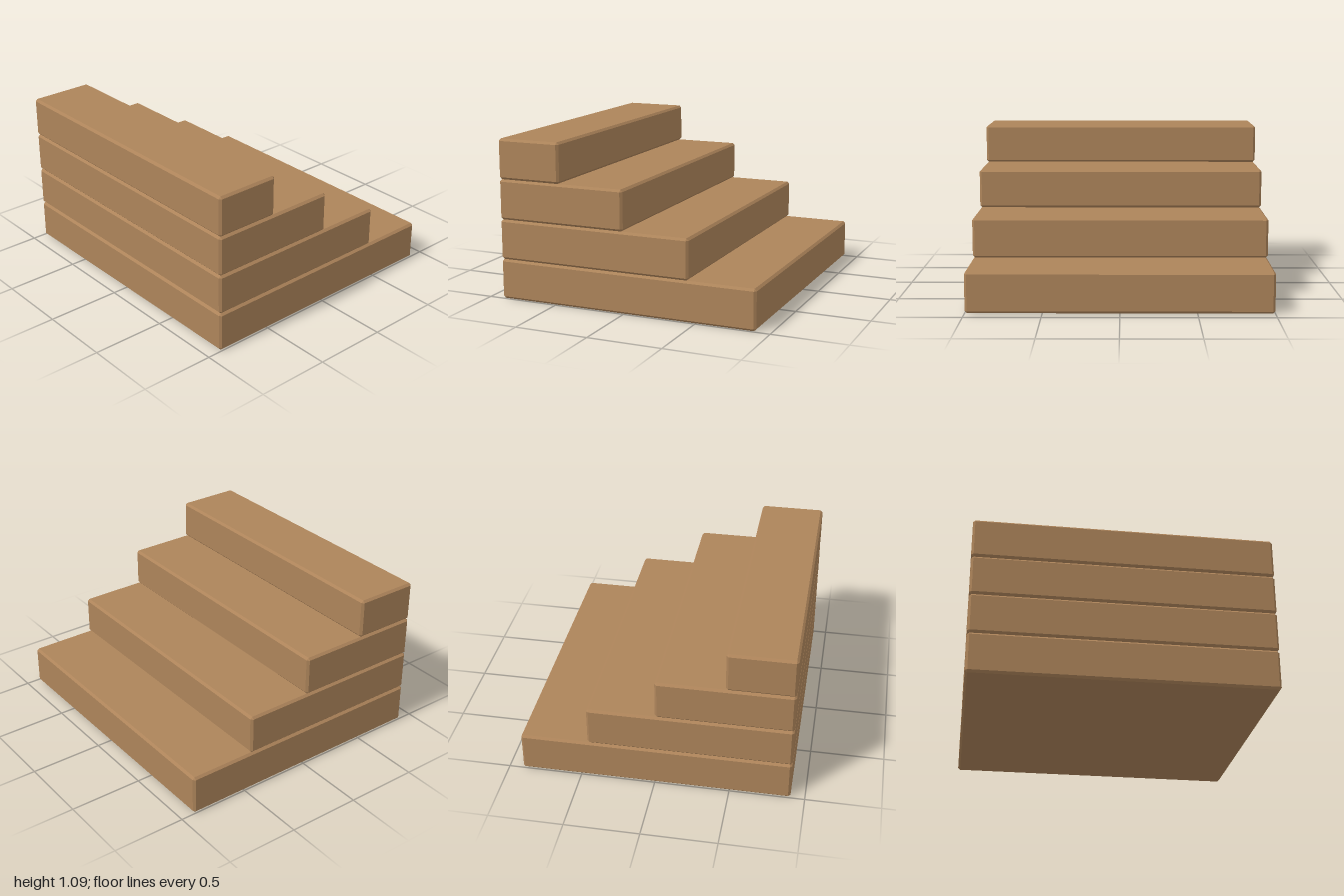
import * as THREE from 'three';
import { ConvexGeometry } from 'three/addons/geometries/ConvexGeometry.js';

// Box with every edge cut by a flat chamfer
function chamferedBox(width, height, depth, cut) {
  const half = [width / 2, height / 2, depth / 2];
  const points = [];
  for (const sx of [-1, 1]) for (const sy of [-1, 1]) for (const sz of [-1, 1]) {
    const sign = [sx, sy, sz];
    // Three points per corner, one on each adjoining face
    for (let face = 0; face < 3; face++) {
      const p = half.map((h, axis) => sign[axis] * (axis === face ? h : h - cut));
      points.push(new THREE.Vector3(...p));
    }
  }
  return new ConvexGeometry(points);
}

export function createModel() {
  const group = new THREE.Group();
  group.name = 'steps';

  const wood = new THREE.MeshStandardMaterial({ color: 0xad845a });
  wood.name = 'wood';

  const count = 4;
  const height = 0.272;
  const front = 0.905;
  const tread = 0.4545;

  // Stacked slabs, flush at the front and stepping in from the back
  for (let i = 0; i < count; i++) {
    const back = -front + i * tread;
    const step = new THREE.Mesh(chamferedBox(2, height, front - back, 0.015), wood);
    step.name = `step${i + 1}`;
    step.position.set(0, (i + 0.5) * height, (front + back) / 2);
    group.add(step);
  }
  return group;
}
